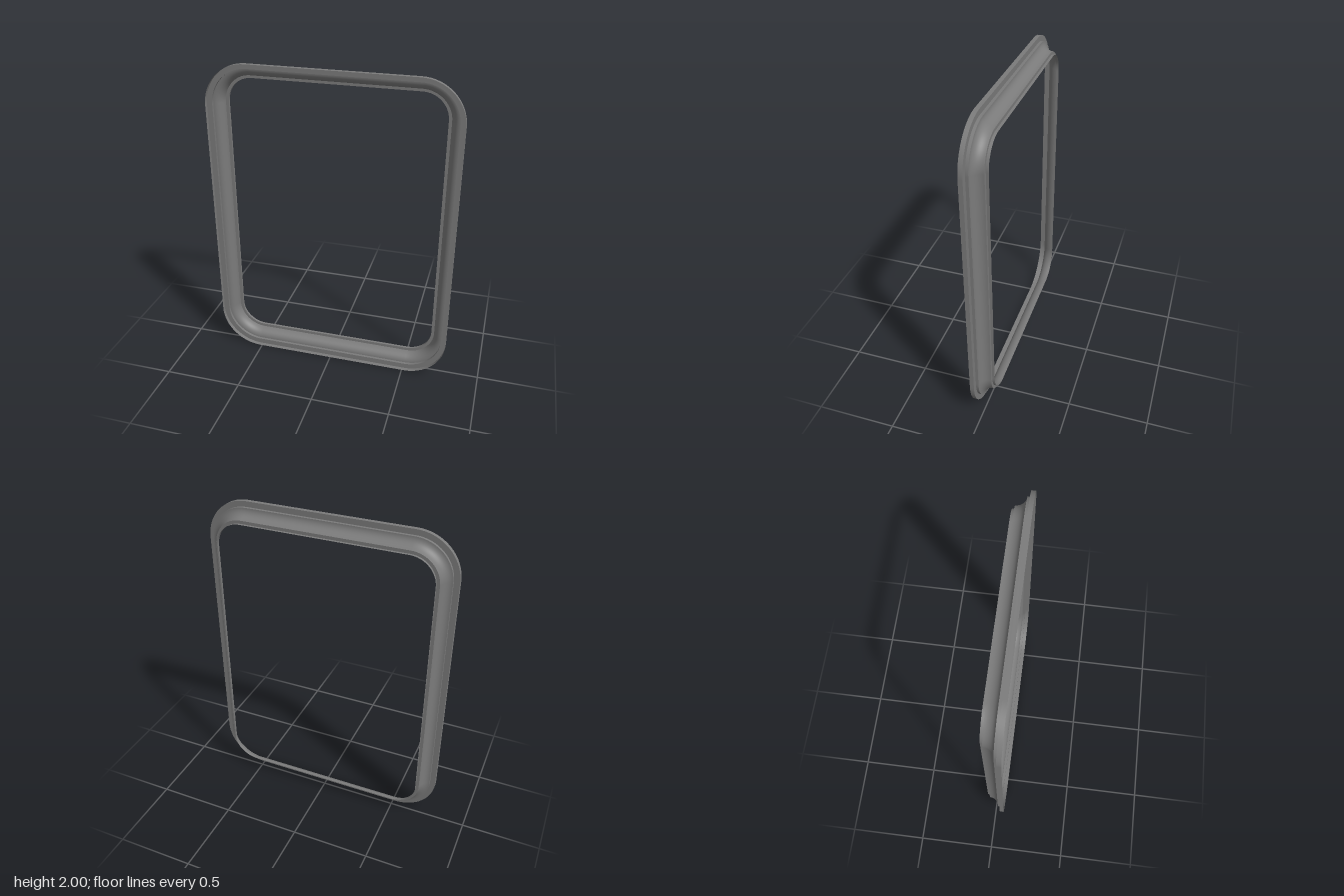
import * as THREE from 'three';

const CX = 0.512, CY = 0.735; // corner arc centres, relative to the frame's middle
const ARC = 16;               // segments per rounded corner

// Rounded-rectangle loop with corner radius r at depth z, counterclockwise from the front
function ring(r, z) {
  const points = [];
  const corners = [[1, 1], [-1, 1], [-1, -1], [1, -1]];
  corners.forEach(([sx, sy], q) => {
    for (let k = 0; k <= ARC; k++) {
      const a = (q + k / ARC) * Math.PI / 2;
      points.push([sx * CX + r * Math.cos(a), 1 + sy * CY + r * Math.sin(a), z]);
    }
  });
  return points;
}

// Sweep a short profile of [radius, z] points (front to back) around the frame
function band(profile) {
  const positions = profile.flatMap(([r, z]) => ring(r, z).flat());
  const n = 4 * (ARC + 1);
  const index = [];
  for (let j = 0; j < profile.length - 1; j++) {
    for (let i = 0; i < n; i++) {
      const a = j * n + i, b = j * n + (i + 1) % n;
      index.push(a, a + n, b, b, a + n, b + n);
    }
  }
  const geometry = new THREE.BufferGeometry();
  geometry.setAttribute('position', new THREE.Float32BufferAttribute(positions, 3));
  geometry.setIndex(index);
  geometry.computeVertexNormals();
  return geometry;
}

export function createModel() {
  const group = new THREE.Group();
  group.name = 'roundedFrame';
  const material = new THREE.MeshStandardMaterial({ color: 0x7b7b7b, side: THREE.DoubleSide });

  // Concave quarter-ellipse between the front step and the back lip
  const cove = [];
  for (let k = 0; k <= 12; k++) {
    const a = (k / 12) * Math.PI / 2;
    cove.push([0.231 - 0.055 * Math.sin(a), -0.045 + 0.063 * Math.cos(a)]);
  }

  // Each band is separate so the edges between them stay sharp
  const parts = {
    frontRim: [[0.265, 0.061], [0.265, 0.035]],
    frontLedge: [[0.265, 0.035], [0.231, 0.035]],
    frontStep: [[0.231, 0.035], [0.231, 0.018]],
    cove,
    backLedge: [[0.176, -0.045], [0.157, -0.045]],
    backRim: [[0.157, -0.045], [0.157, -0.061]],
  };
  for (const [name, profile] of Object.entries(parts)) {
    const mesh = new THREE.Mesh(band(profile), material);
    mesh.name = name;
    group.add(mesh);
  }
  return group;
}
